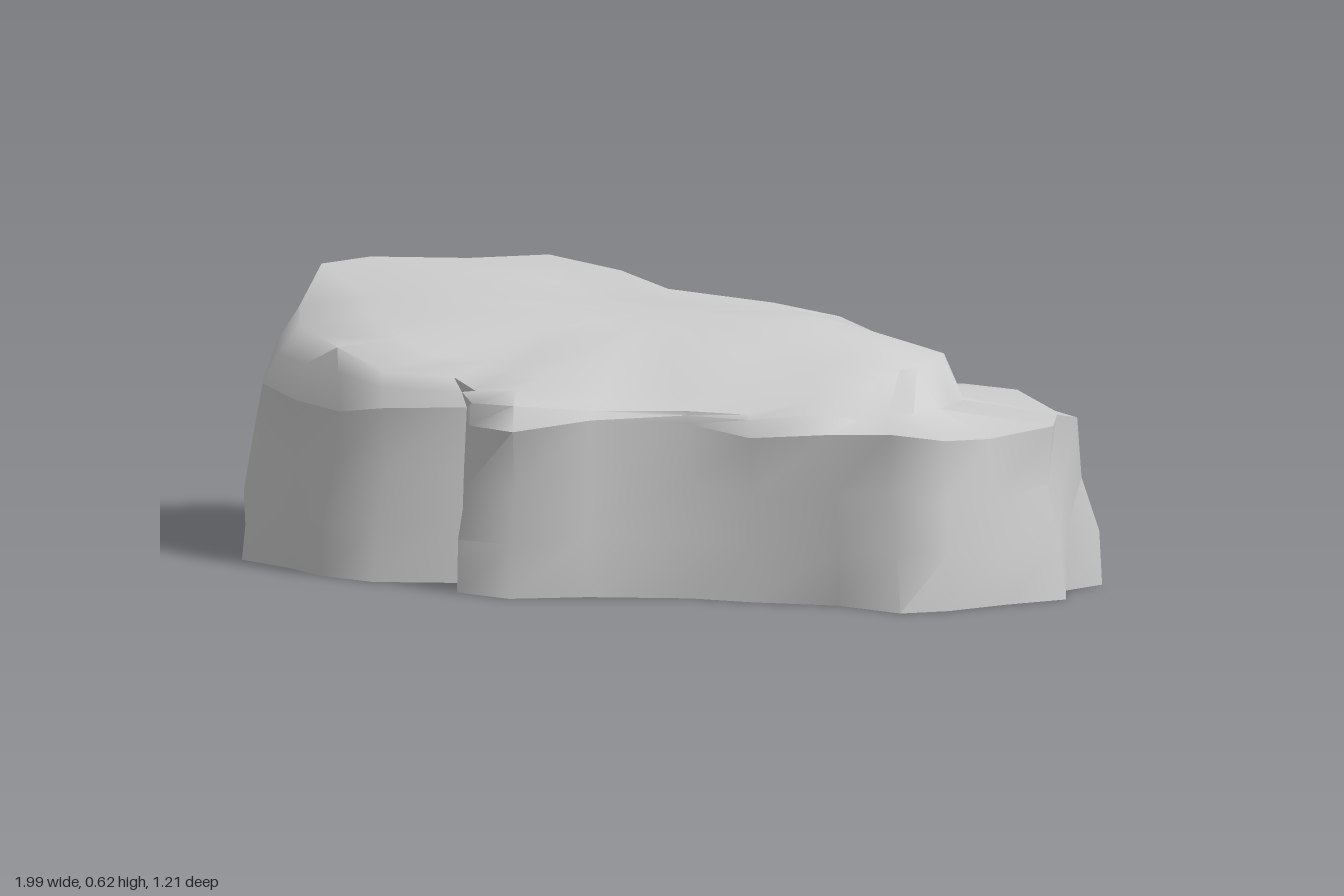
import * as THREE from 'three';
import { toCreasedNormals } from 'three/addons/utils/BufferGeometryUtils.js';

// Footprint [x, z], from the left end round the front
const FOOT = [
  [-1, -0.1], [-0.97, 0.08], [-0.85, 0.19], [-0.75, 0.29], [-0.62, 0.36], [-0.42, 0.34],
  [-0.4, 0.48], [-0.27, 0.56], [-0.1, 0.5], [0.13, 0.47], [0.28, 0.51], [0.48, 0.52],
  [0.64, 0.61], [0.75, 0.56], [0.85, 0.43], [0.97, 0.33], [0.95, 0.2], [1, 0.09],
  [0.9, -0.02], [0.79, -0.18], [0.65, -0.28], [0.44, -0.34], [0.15, -0.31], [-0.07, -0.39],
  [-0.12, -0.5], [-0.35, -0.61], [-0.56, -0.61], [-0.8, -0.56], [-0.95, -0.43],
];

// Rim of the upper tier [x, y, z], matching the footprint
const TIER = [
  [-0.87, 0.55, -0.1], [-0.84, 0.53, 0.05], [-0.78, 0.52, 0.14], [-0.72, 0.51, 0.23],
  [-0.6, 0.47, 0.31], [-0.44, 0.46, 0.3], [-0.38, 0.44, 0.36], [-0.27, 0.46, 0.46],
  [-0.1, 0.43, 0.4], [0.11, 0.42, 0.44], [0.26, 0.42, 0.47], [0.4, 0.45, 0.41],
  [0.48, 0.47, 0.38], [0.53, 0.49, 0.33], [0.57, 0.5, 0.27], [0.6, 0.5, 0.21],
  [0.62, 0.5, 0.14], [0.63, 0.49, 0.07], [0.62, 0.5, 0], [0.57, 0.5, -0.07],
  [0.5, 0.5, -0.12], [0.36, 0.56, -0.115], [0.2, 0.58, -0.16], [-0.07, 0.58, -0.32],
  [-0.19, 0.61, -0.38], [-0.38, 0.62, -0.52], [-0.56, 0.61, -0.5], [-0.78, 0.61, -0.48],
  [-0.88, 0.6, -0.42],
];

const N = FOOT.length;
const APEX = [-0.05, 0.575, -0.03];
const mix = THREE.MathUtils.lerp;

// Skin stacked rings; an optional apex closes the last one
function skin(rings, apex) {
  const pos = rings.flat(2), index = [];
  for (let r = 0; r < rings.length - 1; r++) {
    for (let i = 0; i < N; i++) {
      const j = (i + 1) % N;
      const a = r * N + i, b = r * N + j, c = a + N, d = b + N;
      index.push(a, b, d, a, d, c);
    }
  }
  if (apex) {
    pos.push(...apex);
    const last = (rings.length - 1) * N;
    for (let i = 0; i < N; i++) index.push(last + i, last + (i + 1) % N, rings.length * N);
  }
  const geo = new THREE.BufferGeometry();
  geo.setAttribute('position', new THREE.Float32BufferAttribute(pos, 3));
  geo.setIndex(index);
  return toCreasedNormals(geo, 0.95);
}

export function createModel() {
  const group = new THREE.Group();
  group.name = 'rock';
  const stone = new THREE.MeshStandardMaterial({ color: 0xcccccc, side: THREE.DoubleSide });
  stone.name = 'stone';

  // Wall ring: footprint scaled with a weathered wobble
  const wall = (y, scale, wobble) => FOOT.map(([x, z], i) => {
    const k = scale + wobble * Math.sin(i * 2.3 + y * 9);
    return [x * k, y + (y > 0 ? 0.015 * Math.sin(i * 1.7) : 0), z * k];
  });
  const rim = wall(0.385, 0.955, 0.015);

  // Foot of the upper tier: a real step at the right and back, a plain slope elsewhere
  const tuck = TIER.map(([x, y, z], i) => {
    const stepped = i >= 12 && i <= 27;
    const t = stepped ? 0.84 : 0.4, rise = stepped ? 0.08 : 0.5;
    return [mix(rim[i][0], x, t), mix(0.4, y, rise), mix(rim[i][2], z, t)];
  });

  // Rings across the top, rising towards the back left
  const crown = (t) => TIER.map(([x, y, z]) => {
    const px = mix(x, APEX[0], t), pz = mix(z, APEX[2], t);
    const lift = 0.025 * THREE.MathUtils.smoothstep(-px, 0.2, 0.4) * (pz < 0 ? 1 : 0.2);
    const h = APEX[1] - 0.28 * Math.max(0, pz - 0.05) + lift;
    return [px, mix(y, h, Math.min(1, t * 2.4)), pz];
  });

  const add = (name, geo) => {
    const mesh = new THREE.Mesh(geo, stone);
    mesh.name = name;
    group.add(mesh);
  };

  // Hollow lower walls, swelling and pinching on the way up
  add('lowerWall', skin([
    wall(0, 0.99, 0.008), wall(0.13, 0.985, 0.012), wall(0.25, 0.96, 0.02), rim,
  ]));
  // Ledge and upper tier with its sloping top
  add('upperTier', skin([rim, tuck, TIER, crown(0.2), crown(0.42), crown(0.7)], APEX));
  return group;
}
